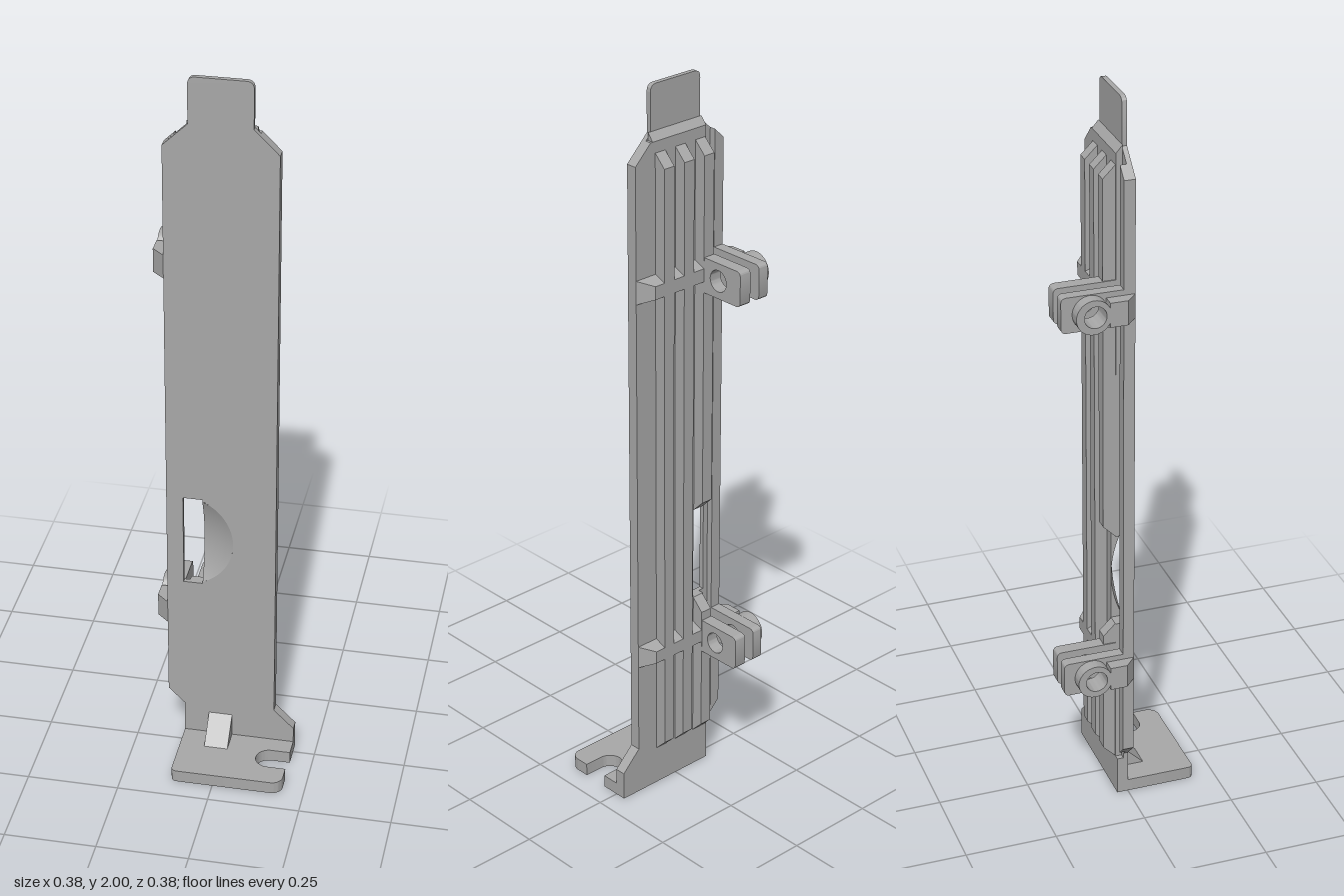
import * as THREE from 'three';
import { toCreasedNormals } from 'three/addons/utils/BufferGeometryUtils.js';

const steel = new THREE.MeshStandardMaterial({ color: 0xa8a8a8, side: THREE.DoubleSide });
steel.name = 'grey metal';

const polygon = (pts) => new THREE.Shape(pts.map(([a, b]) => new THREE.Vector2(a, b)));

function extrude(shape, depth) {
  return new THREE.ExtrudeGeometry(shape, { depth, bevelEnabled: false, curveSegments: 24 });
}

// Profile drawn in (z, y), extruded along x from x0 to x1
function extrudeX(shape, x0, x1) {
  return extrude(shape, x1 - x0).rotateY(-Math.PI / 2).translate(x1, 0, 0);
}

export function createModel() {
  const group = new THREE.Group();
  const add = (name, geometry, parent = group) => {
    const mesh = new THREE.Mesh(toCreasedNormals(geometry, 0.5), steel);
    mesh.name = name;
    parent.add(mesh);
    return mesh;
  };

  // Opening: a rectangle on the left with a round scoop beside it
  const cut = { x0: -0.115, x1: -0.063, cx: -0.12, cy: 0.663, r: 0.14 };
  const half = Math.sqrt(cut.r ** 2 - (cut.x1 - cut.cx) ** 2);
  const lo = 0.53, hi = 0.796;
  const arc = [];
  const a0 = Math.atan2(half, cut.x1 - cut.cx);
  for (let i = 0; i <= 24; i++) {
    const a = -a0 + (2 * a0 * i) / 24;
    arc.push([cut.cx + cut.r * Math.cos(a), cut.cy + cut.r * Math.sin(a)]);
  }

  // Front sheet with narrow top tab
  const sheet = new THREE.Shape();
  sheet.moveTo(-0.115, 0);
  sheet.lineTo(0.19, 0);
  sheet.lineTo(0.19, 0.08);
  sheet.lineTo(0.135, 0.135);
  sheet.lineTo(0.135, 1.81);
  sheet.lineTo(0.07, 1.875);
  sheet.lineTo(0.07, 1.98);
  sheet.quadraticCurveTo(0.07, 2, 0.05, 2);
  sheet.lineTo(-0.075, 2);
  sheet.quadraticCurveTo(-0.095, 2, -0.095, 1.98);
  sheet.lineTo(-0.095, 1.875);
  sheet.lineTo(-0.16, 1.813);
  sheet.lineTo(-0.16, 0.17);
  sheet.lineTo(-0.115, 0.125);
  sheet.holes.push(polygon([[cut.x0, lo], [cut.x1, lo], ...arc, [cut.x1, hi], [cut.x0, hi]]));
  add('frontSheet', extrude(sheet, 0.013).translate(0, 0, -0.013));

  // Thicker back layer, leaving a long groove beside the left rim
  const back = polygon([
    [-0.115, 0], [0.19, 0], [0.19, 0.08], [0.135, 0.135], [0.135, 1.81], [0.085, 1.86],
    [-0.1, 1.86], [-0.1, hi], [cut.x1, hi], ...arc.slice().reverse(), [cut.x1, lo],
    [-0.1, lo], [-0.1, 0.11], [-0.115, 0.11],
  ]);
  add('backLayer', extrude(back, 0.017).translate(0, 0, -0.03));
  const rim = polygon([[-0.16, 0.17], [-0.13, 0.14], [-0.13, 1.842], [-0.16, 1.813]]);
  add('leftRim', extrude(rim, 0.017).translate(0, 0, -0.03));
  add('topBevel', extrudeX(polygon([[-0.013, 1.86], [-0.013, 1.88], [-0.03, 1.86]]), -0.1, 0.078));

  // Spherical scoop, with a lip at its open edge
  const scoop = new THREE.PlaneGeometry(1, 1, 13, 24);
  const p = scoop.attributes.position;
  for (let i = 0; i < p.count; i++) {
    const col = Math.round((p.getX(i) + 0.5) * 13);
    const y = p.getY(i) * 2 * half;
    const edge = cut.cx + Math.sqrt(cut.r ** 2 - y * y);
    const x = cut.x1 + (edge - cut.x1) * Math.max(0, (col - 1) / 12);
    const depth = 0.035 * (1 - ((x - cut.cx) ** 2 + y * y) / cut.r ** 2);
    p.setXYZ(i, x, cut.cy + y, col === 0 ? -0.03 : -Math.max(0, depth));
  }
  add('openingScoop', scoop);
  const cover = new THREE.ShapeGeometry(polygon(arc)).rotateY(Math.PI);
  cover.scale(-1, 1, 1).translate(0, 0, -0.03);
  add('scoopBack', cover);

  // Long ribs with sloped ends; the first stops either side of the opening
  const ribs = [[-0.097, 0.11, lo], [-0.097, hi, 1.83], [-0.03, 0.11, 1.83], [0.037, 0.11, 1.83]];
  for (const [x, y0, y1] of ribs) {
    const profile = polygon([[-0.03, y0], [-0.063, y0 + 0.033], [-0.063, y1 - 0.033], [-0.03, y1]]);
    add('backRib', extrudeX(profile, x, x + 0.033));
  }

  // Two hinge clips: cross bar, paired lugs, round collar and its support
  for (const y of [1.478, 0.424]) {
    const clip = new THREE.Group();
    clip.name = 'hingeClip';
    clip.position.y = y;
    group.add(clip);

    const bar = extrudeX(polygon([[-0.03, -0.032], [-0.03, 0.032], [-0.063, 0.018], [-0.063, -0.018]]), -0.1, 0.1);
    const bp = bar.attributes.position;
    for (let i = 0; i < bp.count; i++) {
      if (bp.getX(i) > 0.09 && bp.getZ(i) > -0.04) bp.setX(i, 0.135);
    }
    add('crossBar', bar, clip);

    const lug = new THREE.Shape();
    lug.moveTo(-0.005, -0.048);
    lug.lineTo(-0.005, 0.048);
    lug.lineTo(-0.178, 0.048);
    lug.quadraticCurveTo(-0.193, 0.048, -0.193, 0.033);
    lug.lineTo(-0.193, -0.033);
    lug.quadraticCurveTo(-0.193, -0.048, -0.178, -0.048);
    const bore = new THREE.Path().absarc(-0.114, 0, 0.029, 0, Math.PI * 2, true);
    lug.holes.push(bore);
    add('outerLug', extrudeX(lug, -0.16, -0.13), clip);
    add('innerLug', extrudeX(lug, -0.1, -0.065), clip);

    const collar = new THREE.Shape().absarc(-0.118, 0, 0.046, 0, Math.PI * 2, false);
    collar.holes.push(bore);
    add('collar', extrudeX(collar, -0.193, -0.16), clip);

    const support = polygon([[-0.16, 0], [-0.16, 0.076], [-0.193, 0.076], [-0.193, 0.03]]);
    const supportGeo = extrude(support, 0.066).rotateX(-Math.PI / 2).translate(0, -0.033, 0);
    add('collarSupport', supportGeo, clip);
  }

  // Foot flange with an open screw slot
  const foot = new THREE.Shape();
  foot.moveTo(-0.115, 0);
  foot.lineTo(0.19, 0);
  foot.lineTo(0.19, 0.05);
  foot.lineTo(0.138, 0.05);
  foot.absarc(0.138, 0.0865, 0.0365, -Math.PI / 2, Math.PI / 2, true);
  foot.lineTo(0.19, 0.123);
  foot.lineTo(0.19, 0.16);
  foot.absarc(0.16, 0.16, 0.03, 0, Math.PI / 2, false);
  foot.lineTo(-0.1, 0.19);
  foot.absarc(-0.1, 0.175, 0.015, Math.PI / 2, Math.PI, false);
  add('footFlange', extrude(foot, 0.035).rotateX(Math.PI / 2).translate(0, 0.035, 0));

  // Triangular brace between foot and plate
  add('footBrace', extrudeX(polygon([[0, 0.035], [0.068, 0.035], [0, 0.102]]), -0.047, 0.018));

  return group;
}
